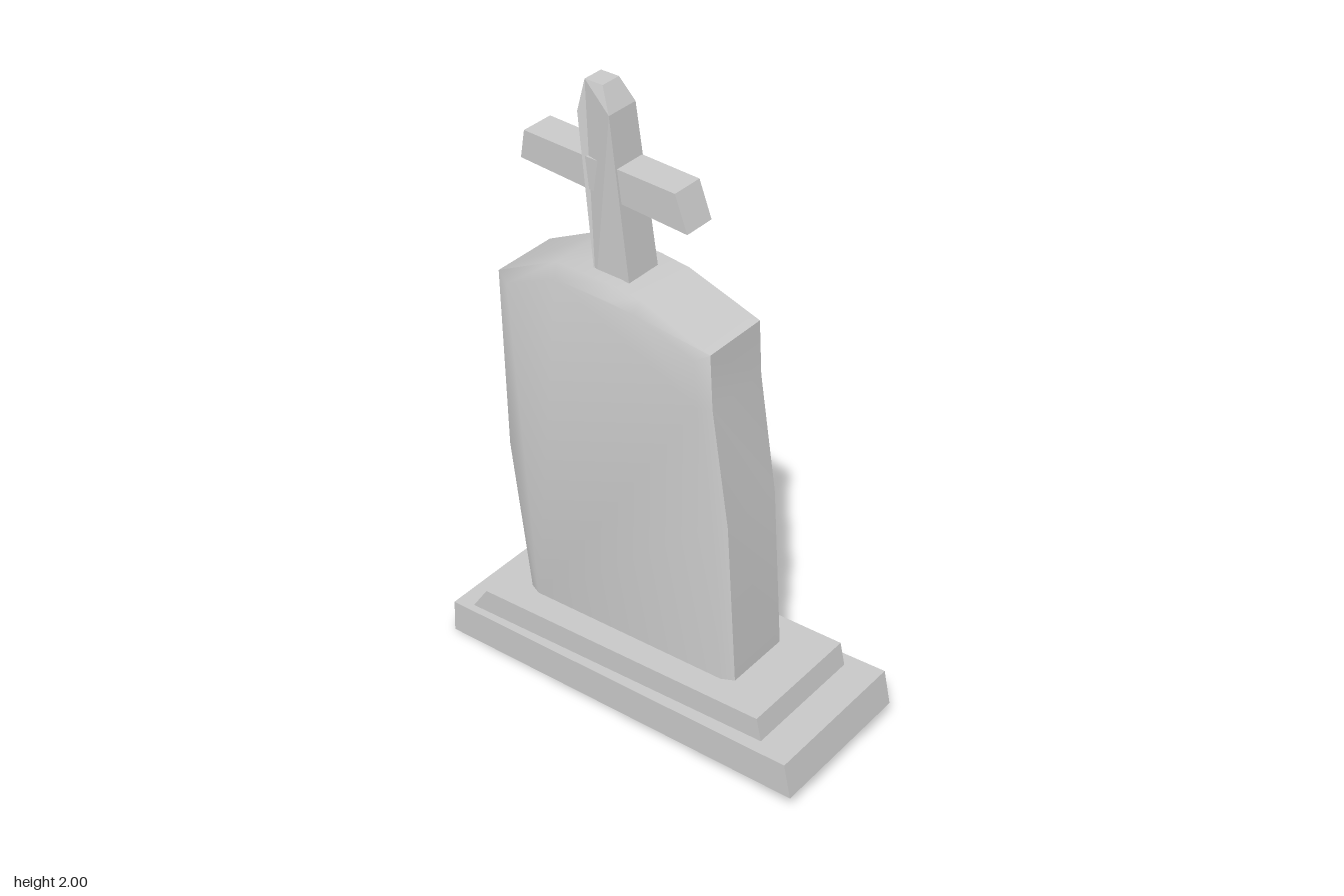
import * as THREE from 'three';
import { toCreasedNormals } from 'three/addons/utils/BufferGeometryUtils.js';

// Solid made from counter-clockwise loops of [x, y, halfDepth]: each loop is used on
// the front and mirrored to the back; an optional inner loop makes a bevelled face.
function slabGeometry(outer, inner, zShift = 0) {
  const loops = inner ? [inner, outer] : [outer];
  const n = outer.length;
  const rings = [
    ...loops.map((l) => l.map(([x, y, d]) => [x, y, zShift + d])),
    ...loops.slice().reverse().map((l) => l.map(([x, y, d]) => [x, y, zShift - d])),
  ];
  const index = [];
  // walls between neighbouring rings
  for (let r = 0; r < rings.length - 1; r++) {
    for (let i = 0; i < n; i++) {
      const a = r * n + i;
      const b = r * n + (i + 1) % n;
      index.push(a, a + n, b, b, a + n, b + n);
    }
  }
  // front and back caps
  const last = (rings.length - 1) * n;
  const flat = loops[0].map(([x, y]) => new THREE.Vector2(x, y));
  for (const [a, b, c] of THREE.ShapeUtils.triangulateShape(flat, [])) {
    index.push(a, b, c, last + a, last + c, last + b);
  }
  const geometry = new THREE.BufferGeometry();
  geometry.setAttribute('position', new THREE.Float32BufferAttribute(rings.flat(2), 3));
  geometry.setIndex(index);
  return geometry;
}

export function createModel() {
  const group = new THREE.Group();
  const add = (name, geometry, crease) => {
    const material = new THREE.MeshStandardMaterial({ color: 0xcccccc });
    const mesh = new THREE.Mesh(toCreasedNormals(geometry, crease), material);
    mesh.name = name;
    group.add(mesh);
  };

  // tilted plinth in two tiers
  add('plinth', slabGeometry([
    [-0.665, 0, 0.243], [0.66, 0.075, 0.257], [0.635, 0.19, 0.257], [-0.66, 0.115, 0.243],
  ]), 0.2);
  add('step', slabGeometry([
    [-0.6, 0.115, 0.219], [0.52, 0.18, 0.212], [0.502, 0.26, 0.212], [-0.54, 0.205, 0.219],
  ]), 0.2);

  // leaning headstone with softly bevelled faces
  add('headstone', slabGeometry([
    [-0.44, 0.2, 0.112], [0.35, 0.24, 0.112], [0.312, 0.8, 0.112], [0.252, 1.18, 0.112],
    [0.242, 1.355, 0.112], [0, 1.435, 0.108], [-0.1, 1.445, 0.108], [-0.3, 1.445, 0.108],
    [-0.52, 1.335, 0.112], [-0.508, 0.73, 0.112],
  ], [
    [-0.4, 0.202, 0.13], [0.31, 0.238, 0.13], [0.272, 0.8, 0.13], [0.212, 1.18, 0.13],
    [0.2, 1.33, 0.13], [-0.01, 1.395, 0.13], [-0.1, 1.402, 0.13], [-0.29, 1.402, 0.13],
    [-0.475, 1.315, 0.13], [-0.466, 0.73, 0.13],
  ]), 0.5);

  // crooked cross on top
  add('crossPost', slabGeometry([
    [-0.19, 1.38, 0.064], [-0.065, 1.4, 0.064], [-0.14, 1.93, 0.056],
    [-0.178, 2, 0.034], [-0.24, 2, 0.034], [-0.25, 1.91, 0.056],
  ], null, 0.008), 0.15);
  add('crossBar', slabGeometry([
    [-0.462, 1.698, 0.055], [0.12, 1.66, 0.053], [0.078, 1.77, 0.053], [-0.447, 1.787, 0.055],
  ], null, 0.006), 0.2);

  return group;
}
